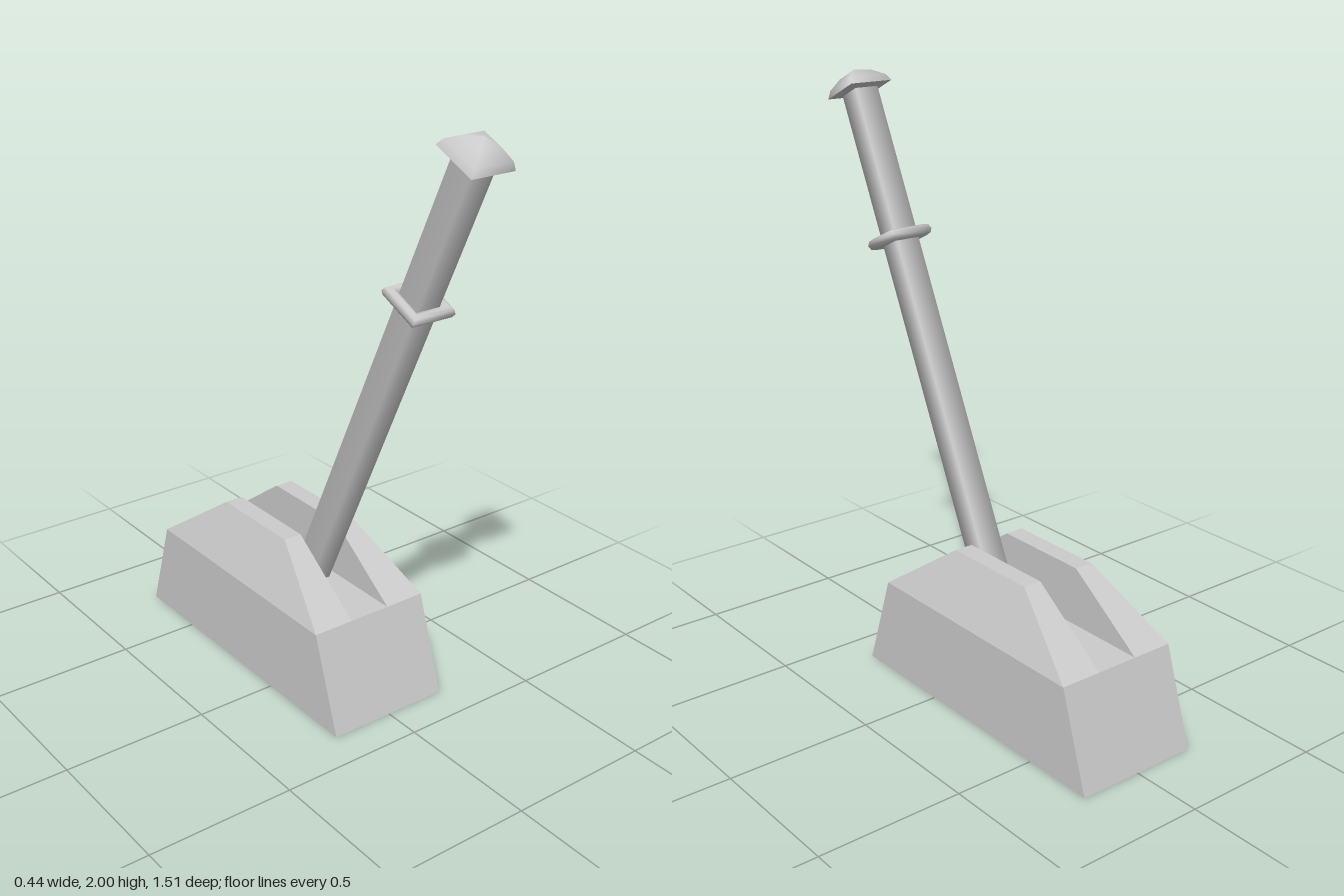
import * as THREE from 'three';

const material = new THREE.MeshStandardMaterial({ color: 0xcccccc, side: THREE.DoubleSide });

function addMesh(parent, geometry, name) {
  const mesh = new THREE.Mesh(geometry, material);
  mesh.name = name;
  parent.add(mesh);
  return mesh;
}

// Builds flat quads and their mirror images across x = 0
function mirroredQuads(quads) {
  const positions = [];
  for (const side of [1, -1]) {
    for (const quad of quads) {
      const q = side === 1 ? quad : [...quad].reverse();
      for (const i of [0, 1, 2, 0, 2, 3]) positions.push(q[i][0] * side, q[i][1], q[i][2]);
    }
  }
  const geometry = new THREE.BufferGeometry();
  geometry.setAttribute('position', new THREE.Float32BufferAttribute(positions, 3));
  geometry.computeVertexNormals();
  return geometry;
}

// Four-sided turned part; profile is [half width, height] from bottom to top
function squareLathe(profile) {
  const points = profile.map(([w, h]) => new THREE.Vector2(w * Math.SQRT2, h));
  return new THREE.LatheGeometry(points, 4, Math.PI / 4);
}

// Hollow housing, open underneath
function housingShell() {
  const outer = 0.22, slot = 0.075, mid = 0.33;
  const low = [0.37, -0.755], shoulder = [0.26, -0.65];
  const at = (x, y, ends, i) => [x, y, ends[i]];
  return mirroredQuads([
    // side
    [at(outer, 0, low, 0), at(outer, 0, low, 1), at(outer, mid, shoulder, 1), at(outer, mid, shoulder, 0)],
    // front
    [at(0, 0, low, 0), at(outer, 0, low, 0), at(outer, mid, shoulder, 0), at(0, mid, shoulder, 0)],
    // back
    [at(outer, 0, low, 1), at(0, 0, low, 1), at(0, mid, shoulder, 1), at(outer, mid, shoulder, 1)],
    // slot floor
    [at(0, mid, shoulder, 0), at(slot, mid, shoulder, 0), at(slot, mid, shoulder, 1), at(0, mid, shoulder, 1)],
  ]);
}

// Two tapered cheeks on either side of the slot
function cheeks() {
  const [y0, y1] = [0.33, 0.53];
  const a = [0.075, y0, 0.26], b = [0.22, y0, 0.26];
  const c = [0.22, y0, -0.65], d = [0.075, y0, -0.65];
  const e = [0.075, y1, -0.02], f = [0.14, y1, -0.02];
  const g = [0.14, y1, -0.37], h = [0.075, y1, -0.37];
  return mirroredQuads([
    [b, c, g, f], // outer
    [d, a, e, h], // inner
    [a, b, f, e], // front slope
    [c, d, h, g], // back slope
    [e, f, g, h], // top
  ]);
}

export function createModel() {
  const model = new THREE.Group();
  model.name = 'lever';

  const base = new THREE.Group();
  base.name = 'base';
  model.add(base);
  addMesh(base, housingShell(), 'housing');
  addMesh(base, cheeks(), 'slotCheeks');

  // Leaning handle, built upright and tilted forward
  const handle = new THREE.Group();
  handle.name = 'handle';
  handle.position.set(0, 0.33, -0.066);
  handle.rotation.x = Math.atan(0.466);
  model.add(handle);

  const length = 1.773;
  addMesh(handle, squareLathe([[0, -0.02], [0.044, -0.02], [0.044, length]]), 'shaft');

  // Rounded square collar
  const section = [];
  for (let i = 0; i <= 8; i++) {
    const t = -Math.PI + (i / 8) * Math.PI * 2;
    section.push([0.062 + 0.018 * Math.cos(t), 0.02 * Math.sin(t)]);
  }
  addMesh(handle, squareLathe(section), 'collar').position.y = 1.257;

  // Square domed knob
  const dome = [[0.08, 0], [0.07, 0.025], [0.04, 0.053], [0, 0.071]];
  addMesh(handle, squareLathe(dome), 'knob').position.y = length;
  addMesh(handle, squareLathe([[0.04, -0.006], [0.08, 0]]), 'knobUnderside').position.y = length;

  return model;
}
